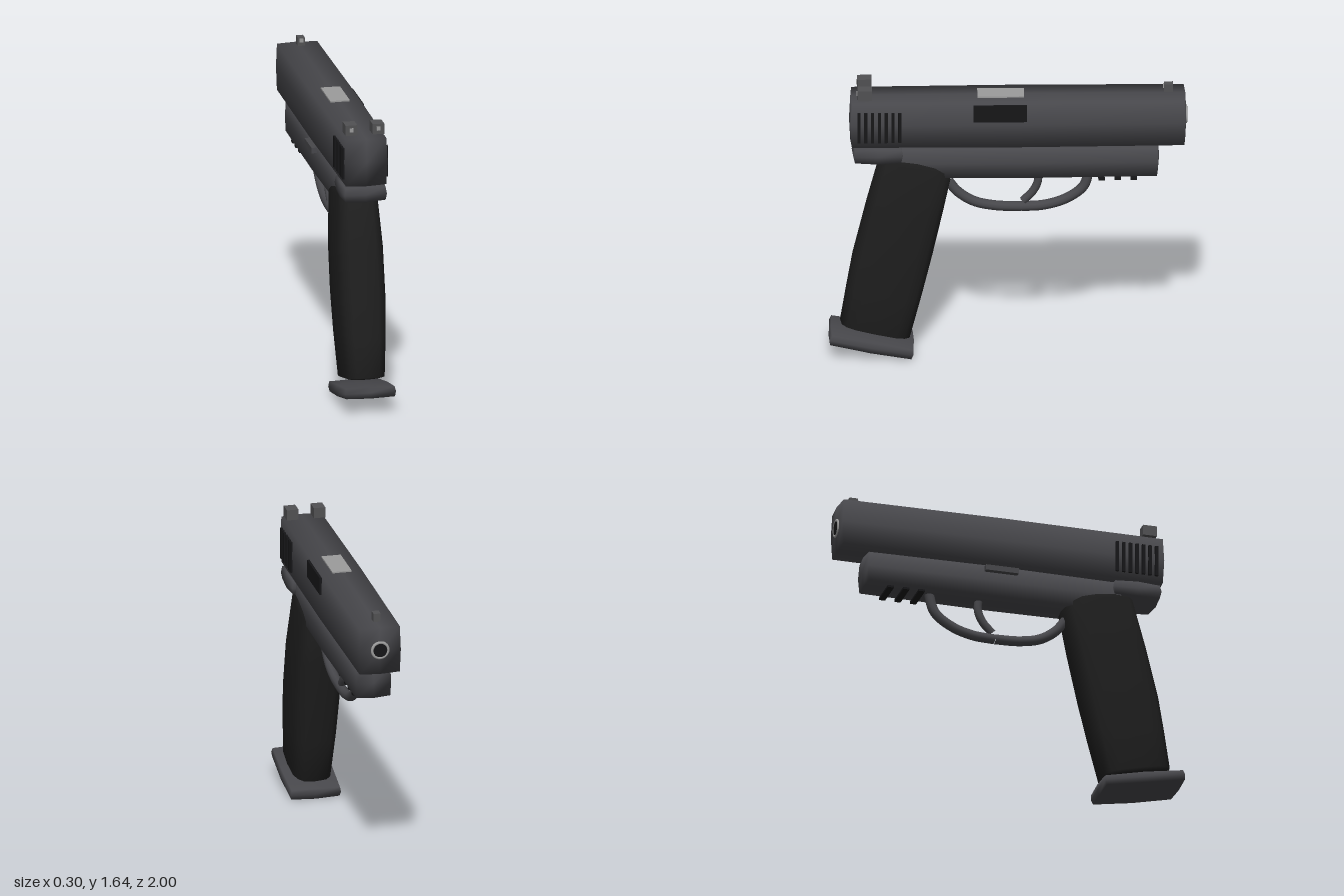
import * as THREE from 'three';
import { mergeVertices } from 'three/addons/utils/BufferGeometryUtils.js';

const material = (name, color) => {
  const m = new THREE.MeshStandardMaterial({ color });
  m.name = name;
  return m;
};

// Smooth box whose faces swell towards their middles; c is the swell on each axis
function pillow(size, c) {
  let g = new THREE.BoxGeometry(2, 2, 2, 2, 2, 2);
  g.deleteAttribute('normal');
  g.deleteAttribute('uv');
  g = mergeVertices(g);
  const p = g.attributes.position;
  for (let i = 0; i < p.count; i++) {
    const s = [p.getX(i), p.getY(i), p.getZ(i)].map(Math.round);
    const edge = s.reduce((t, v) => t + Math.abs(v), 0);
    p.setXYZ(i, ...s.map((v, k) => v * (size[k] / 2 - c[k] * (edge - Math.abs(v)) / 2)));
  }
  g.computeVertexNormals();
  return g;
}

// Loft of rounded-square rings: [half width, back z, back y, front z, front y], bottom to top
function loft(rings, n = 16) {
  const pos = [], idx = [];
  const soft = v => Math.sign(v) * Math.abs(v) ** 0.6;
  rings.forEach(([hw, bz, by, fz, fy], i) => {
    for (let j = 0; j < n; j++) {
      const a = (j / n) * Math.PI * 2;
      const t = (soft(Math.sin(a)) + 1) / 2;
      pos.push(hw * soft(Math.cos(a)), fy + (by - fy) * t, fz + (bz - fz) * t);
      if (i === rings.length - 1) continue;
      const p = i * n + j, q = i * n + (j + 1) % n;
      idx.push(p, p + n, q, q, p + n, q + n);
    }
  });
  const g = new THREE.BufferGeometry();
  g.setAttribute('position', new THREE.Float32BufferAttribute(pos, 3));
  g.setIndex(idx);
  g.computeVertexNormals();
  return g;
}

// Round bar through [z, y] points on the centre plane
function bar(points, radius) {
  const curve = new THREE.CatmullRomCurve3(points.map(([z, y]) => new THREE.Vector3(0, y, z)));
  return new THREE.TubeGeometry(curve, 24, radius, 10);
}

export function createModel() {
  const group = new THREE.Group();
  const steel = material('dark steel', 0x47474b);
  const sightGrey = material('sight grey', 0x515153);
  const gripBlack = material('grip black', 0x1e1e1e);
  const black = material('black', 0x161618);
  const silver = material('silver', 0x9c9c9c);

  const add = (name, geometry, mat, x = 0, y = 0, z = 0) => {
    const mesh = new THREE.Mesh(geometry, mat);
    mesh.name = name;
    mesh.position.set(x, y, z);
    group.add(mesh);
    return mesh;
  };
  const box = (name, mat, w, h, d, x, y, z) => add(name, new THREE.BoxGeometry(w, h, d), mat, x, y, z);

  // Main body
  add('slide', pillow([0.246, 0.28, 1.88], [0.008, 0.006, 0.014]), steel, 0, 1.445, -0.055);
  add('frame', pillow([0.21, 0.19, 1.485], [0.008, 0.01, 0.014]), steel, 0, 1.2, -0.1);
  add('tang', pillow([0.252, 0.1, 0.29], [0.012, 0.012, 0.016]), steel, 0, 1.253, 0.725);

  // Grip and base plate
  add('grip', loft([
    [0, 0.74, 0.135, 0.74, 0.135],
    [0.085, 0.86, 0.175, 0.61, 0.12],
    [0.115, 0.935, 0.205, 0.54, 0.115],
    [0.13, 0.9, 0.42, 0.475, 0.37],
    [0.138, 0.865, 0.62, 0.42, 0.6],
    [0.137, 0.795, 0.91, 0.36, 0.87],
    [0.118, 0.715, 1.215, 0.305, 1.13],
    [0.09, 0.61, 1.245, 0.37, 1.195],
    [0, 0.53, 1.235, 0.53, 1.235],
  ]), gripBlack);
  const base = add('basePlate', pillow([0.3, 0.072, 0.482], [0.012, 0.008, 0.01]), steel, 0, 0.091, 0.761);
  base.rotation.x = -0.2;

  // Trigger and its guard
  add('triggerGuardRear', bar([[0.335, 1.055], [0.28, 0.985], [0.19, 0.925], [0.07, 0.897], [-0.075, 0.89]], 0.028), steel);
  add('triggerGuardFront', bar([[-0.075, 0.89], [-0.2, 0.898], [-0.32, 0.935], [-0.42, 1.01], [-0.455, 1.12]], 0.028), steel);
  add('trigger', bar([[-0.165, 1.13], [-0.168, 1.05], [-0.14, 0.985], [-0.085, 0.925]], 0.023), steel);

  // Side and top details
  for (const side of [-1, 1]) {
    for (let i = 0; i < 7; i++) {
      box('serration', black, 0.02, 0.18, 0.018, side * 0.12, 1.435, 0.832 - i * 0.038);
    }
  }
  box('ejectionPort', black, 0.024, 0.1, 0.3, 0.12, 1.518, 0.045);
  box('chamberPlate', silver, 0.11, 0.02, 0.26, 0, 1.582, 0.04);
  box('slideStop', steel, 0.04, 0.032, 0.19, -0.113, 1.265, -0.065);
  for (const z of [-0.52, -0.61, -0.7]) box('railSlot', black, 0.18, 0.012, 0.036, 0, 1.093, z);

  // Sights with pale marks on the face nearest the shooter
  for (const side of [-1, 1]) {
    box('rearSight', sightGrey, 0.066, 0.06, 0.08, side * 0.077, 1.625, 0.798);
    box('rearSightMark', silver, 0.022, 0.022, 0.008, side * 0.077, 1.628, 0.84);
  }
  box('frontSight', sightGrey, 0.04, 0.048, 0.05, 0, 1.617, -0.895);
  box('frontSightMark', silver, 0.022, 0.022, 0.006, 0, 1.624, -0.868);

  // Muzzle
  const ring = add('muzzleRing', new THREE.TorusGeometry(0.045, 0.009, 8, 28), silver, 0, 1.45, -0.991);
  ring.scale.z = 0.9;
  const bore = add('bore', new THREE.CylinderGeometry(0.042, 0.042, 0.012, 28), black, 0, 1.45, -0.991);
  bore.rotation.x = Math.PI / 2;

  return group;
}
